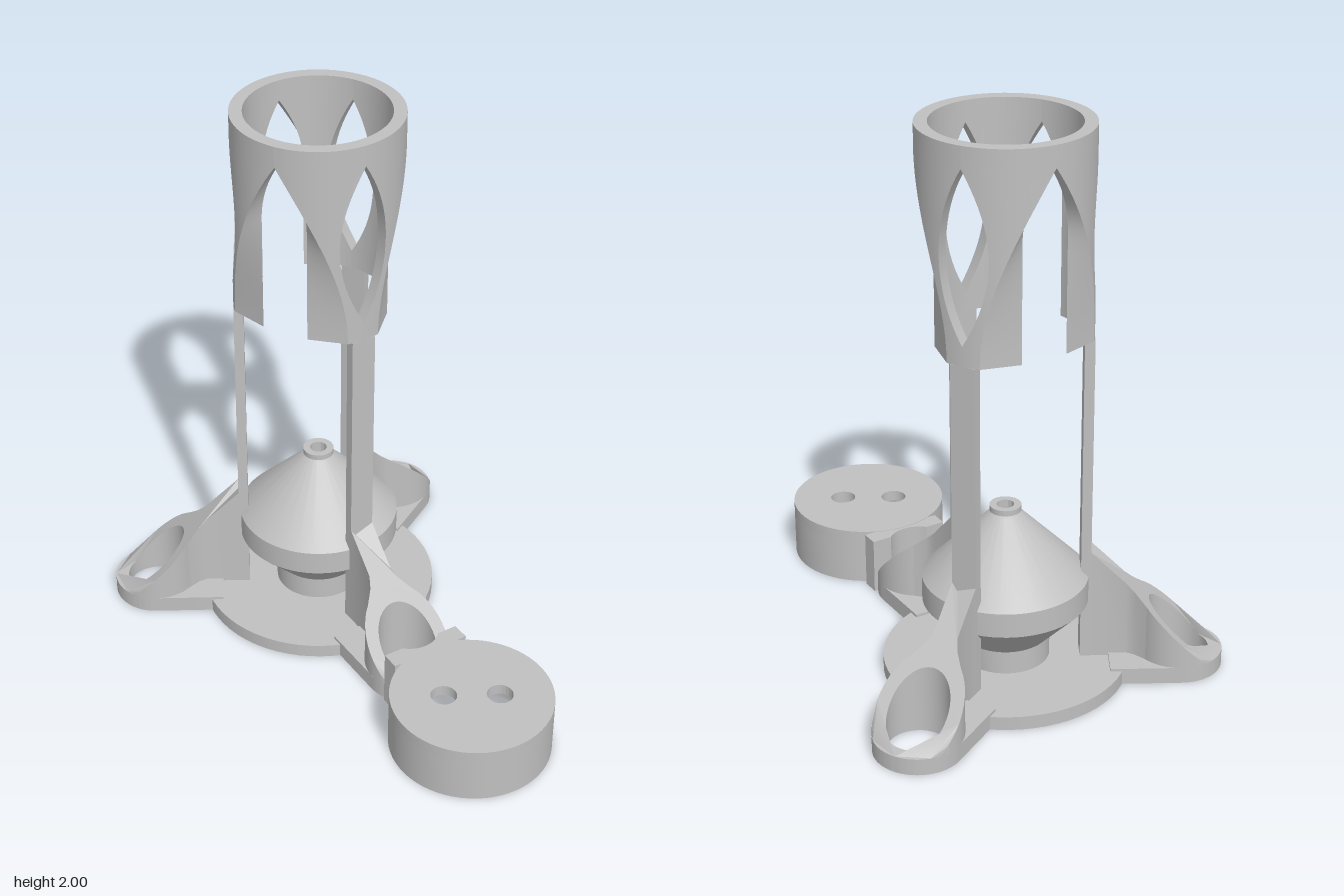
import * as THREE from 'three';
import { toCreasedNormals } from 'three/addons/utils/BufferGeometryUtils.js';

const grey = new THREE.MeshStandardMaterial({ color: 0xc0c0c0 });
grey.name = 'plain grey';

const LUG = 0.61, LUG_R = 0.155, HOLE_R = 0.107;   // screw socket position and radii
const RO = 0.295, RI = 0.25;                       // tower wall radii
const BOTTOM = 1.26, TOP = 2, APEX = 1.925, POINT = 1.33;

function part(name, geometry, parent, crease = 0.5) {
  const mesh = new THREE.Mesh(toCreasedNormals(geometry, crease), grey);
  mesh.name = name;
  parent.add(mesh);
  return mesh;
}

// Upright prism from a plan shape
function prism(shape, height) {
  const g = new THREE.ExtrudeGeometry(shape, { depth: height, bevelEnabled: false, curveSegments: 32 });
  return g.rotateX(-Math.PI / 2);
}

function lathe(points) {
  return new THREE.LatheGeometry(points.map(p => new THREE.Vector2(...p)), 64);
}

function circlePath(x, y, r) {
  return new THREE.Path().absarc(x, y, r, 0, Math.PI * 2, true);
}

// Cut the top of a prism along the 45 degree brace slope
function slopeTop(g) {
  const p = g.attributes.position;
  for (let i = 0; i < p.count; i++) {
    if (p.getY(i) > 0.5) p.setY(i, Math.min(0.46, Math.max(0.059, 0.755 - p.getX(i))));
  }
  return g;
}

// Half widths of the tower openings at height y: [outer, inner]
function legWindow(y) {
  const k = (y - (APEX + POINT) / 2) / ((APEX - POINT) / 2);
  const h = Math.abs(k) > 0.9999 ? 0 : 0.09 * (1 - k * k);
  return [h, h];
}
function archSlot(y) {
  if (y > APEX - 1e-4) return [0, 0];
  const rise = t => 1 - (1 - Math.min(1, t)) ** 2;
  return [0.22 * rise((APEX - y) / 0.665), 0.085 * rise((APEX - y) / 0.25)];
}

// One wall strip of the tower, spanning 60 degrees between two openings
function wallStrip(start, startGap, endGap) {
  const M = 14, N = 2 * M + 2, pos = [], idx = [];
  const rows = [BOTTOM, 1.295];
  for (let k = 0; k <= 20; k++) rows.push(POINT + (APEX - POINT) * k / 20);
  rows.push(TOP);
  const end = start + Math.PI / 3;
  for (const y of rows) {
    const s = startGap(y), e = endGap(y);
    for (let i = 0; i < N; i++) {
      const inner = i > M ? 1 : 0, r = inner ? RI : RO;
      const f = (inner ? N - 1 - i : i) / M;
      const a0 = start + Math.asin(s[inner] / r), a1 = end - Math.asin(e[inner] / r);
      const a = a0 + (a1 - a0) * f;
      pos.push(r * Math.cos(a), y, r * Math.sin(a));
    }
  }
  for (let j = 0; j < rows.length - 1; j++) {
    for (let i = 0; i < N; i++) {
      const gap = i === M ? endGap : i === N - 1 ? startGap : null;
      if (gap && gap(rows[j])[0] + gap(rows[j + 1])[0] === 0) continue;
      const a = j * N + i, b = j * N + (i + 1) % N;
      idx.push(a, a + N, b, a + N, b + N, b);
    }
  }
  const last = (rows.length - 1) * N;
  for (let i = 0; i < M; i++) {
    const o = i, p = i + 1, q = N - 1 - i, r = N - 2 - i;
    idx.push(last + q, last + r, last + o, last + r, last + p, last + o);
    idx.push(q, o, r, r, o, p);
  }
  const g = new THREE.BufferGeometry();
  g.setAttribute('position', new THREE.Float32BufferAttribute(pos, 3));
  g.setIndex(idx);
  return g;
}

function buildLeg() {
  const leg = new THREE.Group();

  // Flat foot with a rounded end and screw hole
  const foot = new THREE.Shape();
  foot.moveTo(0.36, -LUG_R);
  foot.lineTo(LUG, -LUG_R);
  foot.absarc(LUG, 0, LUG_R, -Math.PI / 2, Math.PI / 2, false);
  foot.lineTo(0.36, LUG_R);
  foot.holes.push(circlePath(LUG, 0, HOLE_R));
  part('foot', prism(foot, 0.06), leg);

  // Round socket sliced by the slope
  const ring = new THREE.Shape().absarc(LUG, 0, LUG_R, 0, Math.PI * 2, false);
  ring.holes.push(circlePath(LUG, 0, HOLE_R));
  part('screwSocket', slopeTop(prism(ring, 1)), leg);

  // Brace fin flaring into the socket
  const side = [[0.26, 0.045], [0.295, 0.045], [0.42, 0.045], [0.45, 0.06], [0.488, 0.095]];
  const outline = [...side.map(([x, y]) => [x, -y]), ...side.slice().reverse()];
  const fin = new THREE.Shape(outline.map(p => new THREE.Vector2(...p)));
  part('braceFin', slopeTop(prism(fin, 1)), leg);

  // Slim post up to the tower
  const post = new THREE.BoxGeometry(0.035, BOTTOM - 0.4, 0.09);
  post.translate(0.2775, (BOTTOM + 0.4) / 2, 0);
  part('post', post, leg);
  return leg;
}

export function createModel() {
  const model = new THREE.Group();
  model.name = 'model';
  const stand = new THREE.Group();
  stand.name = 'stand';
  stand.position.set(-0.01, 0, -0.24);
  model.add(stand);

  // Base disc and hollow double-cone funnel
  part('baseAndFunnel', lathe([
    [0.1, 0], [0.43, 0], [0.43, 0.05], [0.155, 0.05], [0.155, 0.135], [0.29, 0.275],
    [0.29, 0.365], [0.06, 0.6], [0.045, 0.61], [0.055, 0.612], [0.055, 0.632], [0.03, 0.632],
    [0.03, 0.58], [0.25, 0.35], [0.25, 0.29], [0.11, 0.15], [0.1, 0.13], [0.1, 0],
  ]), stand);

  // Thread ridges in the base hole
  for (let i = 0; i < 4; i++) {
    const ridge = new THREE.TorusGeometry(0.1, 0.01, 6, 40).rotateX(Math.PI / 2);
    part('threadRidge', ridge.translate(0, 0.02 + i * 0.03, 0), stand, 1.2);
  }

  // Three legs, and the tower wall on both sides of each
  for (const angle of [Math.PI / 3, Math.PI, -Math.PI / 3]) {
    const leg = buildLeg();
    leg.name = 'leg';
    leg.rotation.y = -angle;
    stand.add(leg);
    part('towerWall', wallStrip(angle, legWindow, archSlot), stand);
    part('towerWall', wallStrip(angle - Math.PI / 3, archSlot, legWindow), stand);
  }

  // Tab joining the front foot to the round cap
  const tab = new THREE.Shape();
  tab.moveTo(0.685, -0.15);
  tab.lineTo(0.75, -0.15);
  tab.lineTo(0.75, 0.15);
  tab.lineTo(0.685, 0.15);
  tab.lineTo(0.685, 0.076);
  tab.absarc(LUG, 0, HOLE_R, 0.79, -0.79, true);
  part('joiningTab', prism(tab, 0.208), stand).rotation.y = -Math.PI / 3;

  // Round cap: stepped wall below, plate with two holes on top
  const cap = new THREE.Group();
  cap.name = 'cap';
  cap.position.set(0.49, 0, 0.64);
  model.add(cap);
  part('capWall', lathe([
    [0.25, 0], [0.285, 0], [0.285, 0.17], [0.2, 0.17], [0.2, 0.06],
    [0.23, 0.06], [0.23, 0.03], [0.25, 0.03], [0.25, 0],
  ]), cap);
  const plate = new THREE.Shape().absarc(0, 0, 0.285, 0, Math.PI * 2, false);
  for (const x of [-0.097, 0.097]) plate.holes.push(circlePath(x, 0, 0.046));
  part('capPlate', prism(plate, 0.04).translate(0, 0.17, 0), cap);

  return model;
}
